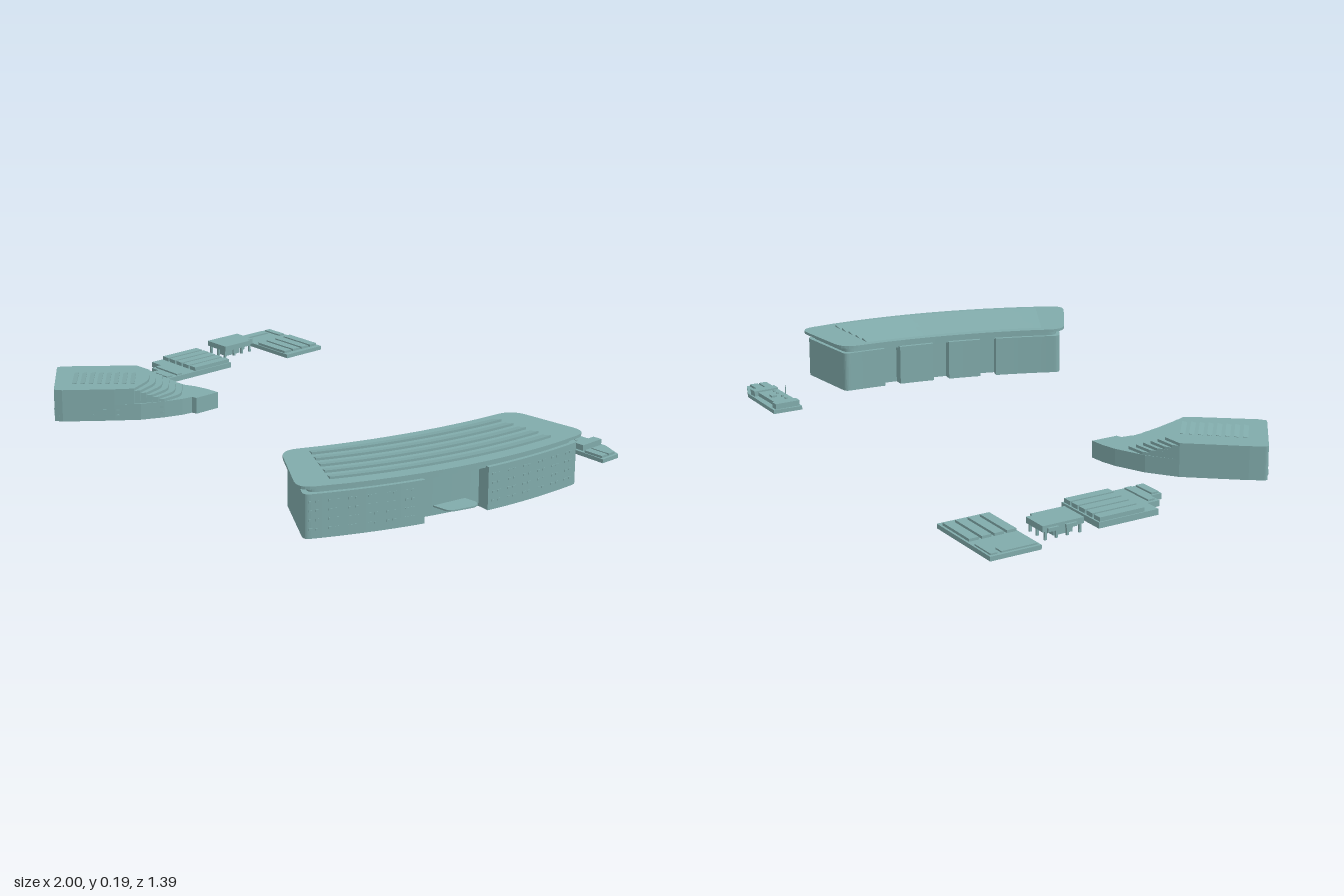
import * as THREE from 'three';

const mat = new THREE.MeshStandardMaterial({ color: 0x80aaaa, flatShading: true, side: THREE.DoubleSide });

function add(group, name, geo) {
  const m = new THREE.Mesh(geo, mat);
  m.name = name;
  group.add(m);
  return m;
}

// Upright prism over a ground outline of [x, z] points with corners; a third value rounds that corner
function prism(group, name, pts, y0, y1) {
  const s = new THREE.Shape();
  const n = pts.length;
  const v = pts.map(p => new THREE.Vector2(p[0], -p[1]));
  for (let i = 0; i < n; i++) {
    const c = v[i], r = pts[i][2] || 0;
    const toward = q => c.clone().add(q.clone().sub(c).setLength(r));
    const a = r ? toward(v[(i + n - 1) % n]) : c;
    if (i === 0) s.moveTo(a.x, a.y); else s.lineTo(a.x, a.y);
    if (r) {
      const b = toward(v[(i + 1) % n]);
      s.quadraticCurveTo(c.x, c.y, b.x, b.y);
    }
  }
  s.closePath();
  const g = new THREE.ExtrudeGeometry(s, { depth: y1 - y0, bevelEnabled: false, curveSegments: 6 });
  g.rotateX(-Math.PI / 2).translate(0, y0, 0);
  return add(group, name, g);
}

function box(group, name, x0, x1, y0, y1, z0, z1) {
  const g = new THREE.BoxGeometry(x1 - x0, y1 - y0, z1 - z0);
  g.translate((x0 + x1) / 2, (y0 + y1) / 2, (z0 + z1) / 2);
  return add(group, name, g);
}

// Sawtooth skylight: runs along a, slopes up from b0 to a vertical face at b1
function skylight(group, P, a0, a1, b0, b1, y, h, n) {
  const pos = [], idx = [];
  for (let i = 0; i <= n; i++) {
    const a = a0 + (a1 - a0) * i / n;
    const [lx, lz] = P(a, b0), [hx, hz] = P(a, b1);
    pos.push(lx, y, lz, hx, y + h, hz, hx, y, hz);
    if (i < n) {
      const k = i * 3;
      for (const [p, q] of [[0, 1], [1, 2], [2, 0]]) idx.push(k + p, k + 3 + p, k + q, k + q, k + 3 + p, k + 3 + q);
    }
  }
  idx.push(0, 1, 2, n * 3, n * 3 + 2, n * 3 + 1);
  const g = new THREE.BufferGeometry();
  g.setAttribute('position', new THREE.Float32BufferAttribute(pos, 3));
  g.setIndex(idx);
  const flat = g.toNonIndexed();
  flat.computeVertexNormals();
  add(group, 'skylight', flat);
}

// Row of thin window frames on a straight wall from p to q
function windows(group, p, q, count, rows, skip) {
  const angle = -Math.atan2(q[1] - p[1], q[0] - p[0]);
  for (const y of rows) for (let i = 0; i < count; i++) {
    if ((i * 7 + Math.round(y * 100)) % skip === 0) continue;
    const t = (i + 0.5) / count;
    const m = add(group, 'window', new THREE.BoxGeometry(0.012, 0.007, 0.004));
    m.position.set(p[0] + (q[0] - p[0]) * t, y, p[1] + (q[1] - p[1]) * t);
    m.rotation.y = angle;
  }
}

// Curved plan of the long block: t runs north to south, u west to east
const V = (x, z) => new THREE.Vector2(x, z);
const west = new THREE.QuadraticBezierCurve(V(0.69, -0.31), V(0.66, 0.13), V(0.47, 0.525));
const east = new THREE.QuadraticBezierCurve(V(1.002, -0.337), V(1.032, 0.195), V(0.755, 0.708));
const plan = (t, u) => {
  const p = west.getPoint(t).lerp(east.getPoint(t), u);
  return [p.x, p.y];
};
function strip(t0, t1, u0, u1, rNorth = 0, rSouth = 0) {
  const pts = [], n = 14;
  for (const [u, dir] of [[u1, 1], [u0, -1]]) for (let i = 0; i <= n; i++) {
    const k = dir > 0 ? i : n - i;
    const r = k === 0 ? rNorth : k === n ? rSouth : 0;
    // keep the first step clear of the rounded corner
    if (k === 1 && rNorth > 0.01 || k === n - 1 && rSouth > 0.01) continue;
    pts.push([...plan(t0 + (t1 - t0) * k / n, u), r]);
  }
  return pts;
}

function longBlock() {
  const g = new THREE.Group();
  g.name = 'longCurvedBuilding';
  prism(g, 'upperBand', strip(0.035, 0.965, 0.1, 0.9, 0.03, 0.03), 0.14, 0.167);
  prism(g, 'core', strip(0.03, 0.97, 0.17, 0.8), 0, 0.143);
  prism(g, 'northWing', strip(0.02, 0.4, 0.2, 0.94, 0.025, 0), 0, 0.145);
  prism(g, 'southWing', strip(0.62, 0.98, 0.2, 0.94, 0, 0.025), 0, 0.145);
  // projecting bays on the inner side
  const bays = [[0.02, 0.2], [0.27, 0.42], [0.49, 0.63], [0.7, 0.98]];
  bays.forEach(([a, b], i) =>
    prism(g, 'innerBay', strip(a, b, 0.06, 0.3, i === 0 ? 0.02 : 0, i === 3 ? 0.02 : 0), 0, 0.145));
  prism(g, 'roofSlab', strip(0, 1, 0, 1, 0.06, 0.06), 0.167, 0.177);
  for (const u of [0.2, 0.365, 0.53, 0.695, 0.86]) skylight(g, plan, 0.125, 0.9, u - 0.13, u, 0.176, 0.009, 24);
  // entrance canopy
  prism(g, 'entranceCanopy', [[0.92, 0.15, 0], [0.975, 0.145, 0.02], [0.99, 0.175, 0.01], [0.965, 0.265, 0.02], [0.9, 0.27, 0]], 0.044, 0.049);
  for (const [t0, t1] of [[0.03, 0.39], [0.63, 0.97]]) for (let i = 0; i < 6; i++) {
    const d = (t1 - t0) / 6;
    windows(g, plan(t0 + d * i, 0.94), plan(t0 + d * (i + 1), 0.94), 3, [0.03, 0.06, 0.09, 0.12], 3);
  }
  return g;
}

function terracedHall() {
  const g = new THREE.Group();
  g.name = 'terracedHall';
  const back = [[-0.645, 0.58], [-0.67, 0.597], [-0.885, 0.432, 0.012], [-0.85, 0.38]];
  const left = [[-0.705, 0.205], [-0.61, 0.135], [-0.505, 0.088], [-0.45, 0.075]];
  prism(g, 'hallBase', [...back, ...left, [-0.395, 0.07], [-0.395, 0.17], [-0.415, 0.175], [-0.42, 0.215], [-0.44, 0.28], [-0.475, 0.36], [-0.53, 0.435]], 0, 0.06);
  // terraces step back toward the roof
  const steps = 6;
  for (let k = 0; k < steps; k++) {
    const f = k / (steps - 1), mix = (a, b) => a + (b - a) * f;
    prism(g, 'terrace', [...back, left[0],
      [mix(-0.6, -0.703), mix(0.131, 0.204)],
      [mix(-0.53, -0.63), mix(0.125, 0.2)],
      [mix(-0.445, -0.535), mix(0.2, 0.275), 0.03],
      [mix(-0.44, -0.49), mix(0.28, 0.378)],
      [-0.53, 0.435]], 0.05, 0.07 + k * 0.0095);
  }
  const P = (a, b) => [-0.786 + 0.09 * a + 0.16 * b, 0.433 + 0.075 * a - 0.176 * b];
  for (let i = 0; i < 8; i++) skylight(g, P, 0, 1.1, i / 8, i / 8 + 0.1, 0.116, 0.005, 1);
  windows(g, [-0.66, 0.59], [-0.53, 0.437], 9, [0.02, 0.04], 4);
  windows(g, [-0.88, 0.436], [-0.675, 0.593], 12, [0.02, 0.04], 4);
  windows(g, [-0.53, 0.435], [-0.44, 0.28], 8, [0.02, 0.04], 5);
  return g;
}

function lowWorkshops() {
  const g = new THREE.Group();
  g.name = 'lowWorkshops';
  // northern shed with cross ridges
  box(g, 'northShed', -1, -0.685, 0, 0.015, -0.7, -0.52);
  for (let i = 0; i < 4; i++) {
    const z = -0.692 + i * 0.0445;
    box(g, 'roofRidge', -0.865, -0.705, 0.013, 0.024, z, z + 0.034);
  }
  box(g, 'roofUnit', -0.99, -0.9, 0.013, 0.02, -0.693, -0.668);
  box(g, 'roofUnit', -0.99, -0.957, 0.013, 0.02, -0.655, -0.528);
  // raised link on columns
  prism(g, 'linkRoof', [[-0.95, -0.485], [-0.855, -0.485], [-0.855, -0.46], [-0.84, -0.46], [-0.84, -0.335], [-0.95, -0.335]], 0.03, 0.05);
  box(g, 'linkCore', -0.925, -0.87, 0, 0.031, -0.43, -0.36);
  for (const x of [-0.945, -0.9, -0.86]) for (const z of [-0.47, -0.43, -0.39, -0.345])
    box(g, 'linkColumn', x, x + 0.008, 0, 0.031, z - 0.004, z + 0.004);
  for (const z of [-0.47, -0.405]) box(g, 'linkBalcony', -0.958, -0.945, 0.03, 0.042, z, z + 0.04);
  // southern shed with stepped corner
  prism(g, 'southShed', [[-0.95, -0.28], [-0.742, -0.28], [-0.742, 0.035], [-0.842, 0.035], [-0.842, -0.008], [-0.89, -0.008], [-0.89, -0.055], [-0.95, -0.055]], 0, 0.02);
  for (let i = 0; i < 5; i++) {
    const x = -0.946 + i * 0.0415;
    box(g, 'roofRidge', x, x + 0.033, 0.018, 0.034, -0.274, -0.107);
  }
  box(g, 'roofUnit', -0.88, -0.75, 0.018, 0.026, -0.045, -0.02);
  box(g, 'roofUnit', -0.835, -0.75, 0.018, 0.026, 0, 0.028);
  return g;
}

function annex() {
  const g = new THREE.Group();
  g.name = 'smallAnnex';
  prism(g, 'annexBase', [[0.6, -0.64], [0.835, -0.635], [0.92, -0.6], [0.92, -0.52], [0.595, -0.53]], 0, 0.014);
  box(g, 'annexHall', 0.635, 0.81, 0.012, 0.028, -0.615, -0.535);
  box(g, 'annexSide', 0.605, 0.635, 0.012, 0.034, -0.63, -0.535);
  box(g, 'annexSide', 0.785, 0.82, 0.012, 0.034, -0.63, -0.535);
  box(g, 'annexEnd', 0.835, 0.91, 0.012, 0.022, -0.592, -0.562);
  box(g, 'annexEnd', 0.835, 0.91, 0.012, 0.022, -0.555, -0.526);
  box(g, 'roofHatch', 0.7, 0.722, 0.027, 0.035, -0.6, -0.58);
  for (const x of [0.66, 0.69, 0.73, 0.76]) box(g, 'roofVent', x, x + 0.008, 0.027, 0.034, -0.565, -0.557);
  const mast = add(g, 'mast', new THREE.CylinderGeometry(0.0015, 0.0015, 0.04, 6));
  mast.position.set(0.711, 0.044, -0.54);
  return g;
}

export function createModel() {
  const model = new THREE.Group();
  model.name = 'buildingCampus';
  model.add(longBlock(), terracedHall(), lowWorkshops(), annex());
  return model;
}
